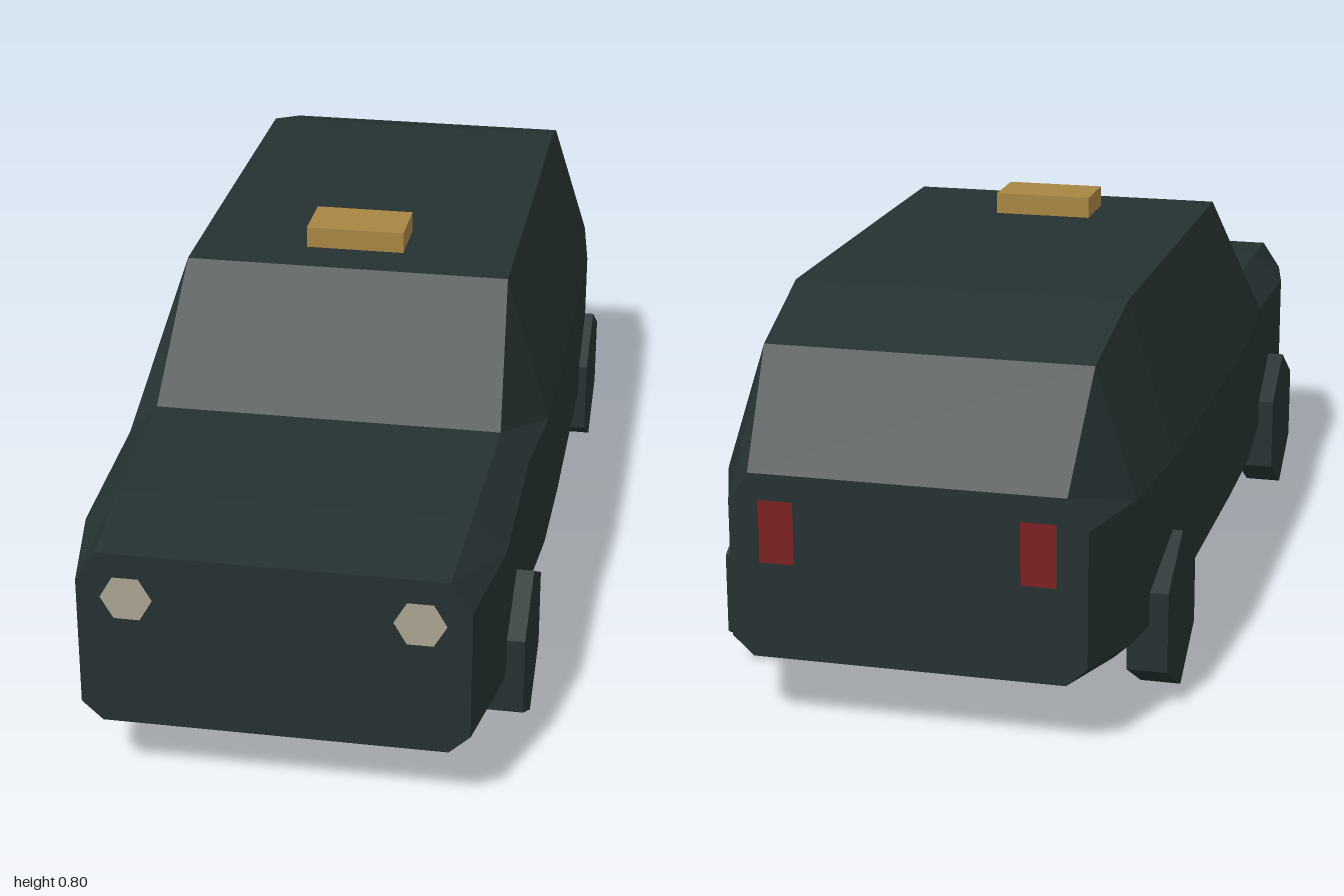
import * as THREE from 'three';

// Body stations: z, lower half width, side half width, shoulder y, top half width, top y
const STATIONS = [
  [1.0, 0.325, 0.365, 0.43, 0.325, 0.49],
  [0.8, 0.36, 0.4, 0.446, 0.335, 0.512],
  [0.46, 0.362, 0.402, 0.464, 0.345, 0.525],
  [0.24, 0.378, 0.418, 0.457, 0.327, 0.757],
  [0, 0.38, 0.42, 0.456, 0.327, 0.757],
  [-0.63, 0.376, 0.416, 0.455, 0.325, 0.757],
  [-0.85, 0.35, 0.39, 0.445, 0.312, 0.69],
  [-1.0, 0.295, 0.335, 0.43, 0.297, 0.49],
];

// Eight-cornered ring, counter-clockwise seen from the front
function ring([z, lower, side, shoulder, top, roof]) {
  const half = [[lower, 0.135], [side, 0.172], [side, shoulder], [top, roof]];
  const mirrored = half.map(([x, y]) => [-x, y]).reverse();
  return [...half, ...mirrored].map(([x, y]) => [x, y, z]);
}

// Loft the rings into a closed, faceted shell
function bodyGeometry() {
  const rings = STATIONS.map(ring);
  const n = rings[0].length;
  const pos = [];
  const tri = (a, b, c) => pos.push(...a, ...b, ...c);
  for (let i = 0; i < rings.length - 1; i++) {
    for (let j = 0; j < n; j++) {
      const k = (j + 1) % n;
      const a = rings[i][j], b = rings[i][k], c = rings[i + 1][j], d = rings[i + 1][k];
      tri(a, c, b);
      tri(b, c, d);
    }
  }
  const front = rings[0], back = rings[rings.length - 1];
  for (let j = 1; j < n - 1; j++) {
    tri(front[0], front[j], front[j + 1]);
    tri(back[0], back[j + 1], back[j]);
  }
  const geo = new THREE.BufferGeometry();
  geo.setAttribute('position', new THREE.Float32BufferAttribute(pos, 3));
  geo.computeVertexNormals();
  return geo;
}

function material(name, color) {
  const m = new THREE.MeshStandardMaterial({ color });
  m.name = name;
  return m;
}

export function createModel() {
  const car = new THREE.Group();
  car.name = 'car';
  const dark = material('dark green grey', 0x253131);
  const amber = material('amber', 0xa88643);
  const cream = material('cream', 0xa9a490);
  const red = material('red', 0x7a2020);

  const add = (name, geo, mat, x, y, z) => {
    const mesh = new THREE.Mesh(geo, mat);
    mesh.name = name;
    mesh.position.set(x, y, z);
    car.add(mesh);
  };

  add('body', bodyGeometry(), dark, 0, 0, 0);
  add('roofSign', new THREE.BoxGeometry(0.2, 0.044, 0.12), amber, 0, 0.778, 0.08);

  // Six-sided wheels with a corner pointing up
  const wheel = new THREE.CylinderGeometry(0.157, 0.157, 0.078, 6)
    .rotateY(Math.PI / 6).rotateZ(Math.PI / 2).toNonIndexed();
  wheel.computeVertexNormals();
  const headlight = new THREE.CircleGeometry(0.049, 6);
  const tailLight = new THREE.PlaneGeometry(0.066, 0.12).rotateY(Math.PI);

  for (const [side, s] of [['left', 1], ['right', -1]]) {
    add(side + 'FrontWheel', wheel, dark, s * 0.396, 0.157, 0.62);
    add(side + 'RearWheel', wheel, dark, s * 0.396, 0.157, -0.632);
    add(side + 'Headlight', headlight, cream, s * 0.271, 0.4, 1.002);
    add(side + 'TailLight', tailLight, red, s * 0.245, 0.38, -1.002);
  }
  return car;
}
